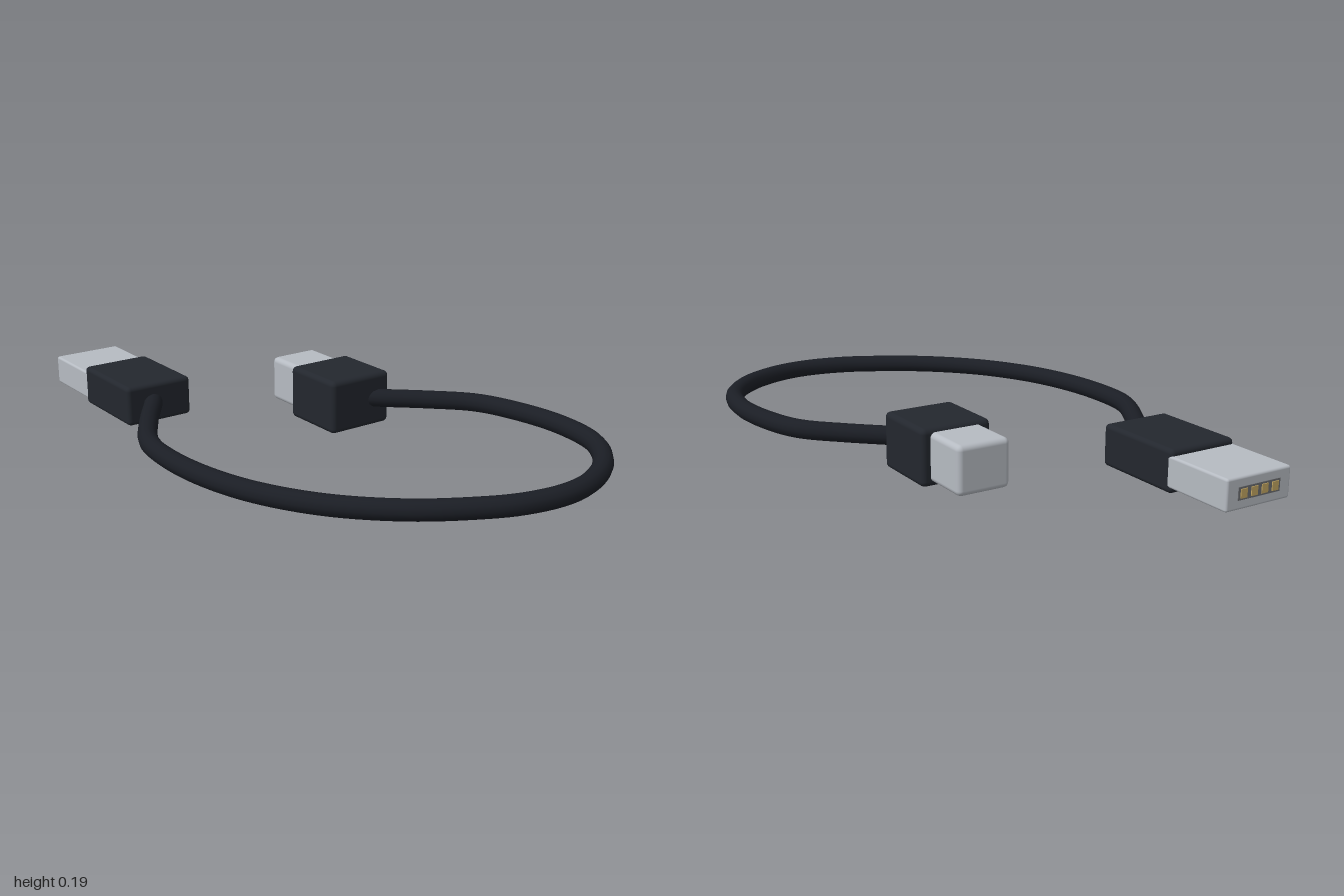
import * as THREE from 'three';
import { RoundedBoxGeometry } from 'three/addons/geometries/RoundedBoxGeometry.js';

const material = (color) => new THREE.MeshStandardMaterial({ color });

export function createModel() {
  const model = new THREE.Group();
  const rubber = material(0x23272e);
  const cableRubber = material(0x1b1e25);
  const metal = material(0xb6bbc2);
  const slotDark = material(0x6b6d70);
  const gold = material(0xc2a561);

  // Box given by its minimum and maximum on each axis
  function block(name, parent, mat, [x0, x1], [y0, y1], [z0, z1], radius = 0) {
    const size = [x1 - x0, y1 - y0, z1 - z0];
    const geometry = radius > 0
      ? new RoundedBoxGeometry(...size, 3, radius)
      : new THREE.BoxGeometry(...size);
    const mesh = new THREE.Mesh(geometry, mat);
    mesh.name = name;
    mesh.position.set((x0 + x1) / 2, (y0 + y1) / 2, (z0 + z1) / 2);
    parent.add(mesh);
    return mesh;
  }

  // Flat connector: grip, metal shell and contact slot
  const flat = new THREE.Group();
  flat.name = 'flatConnector';
  block('flatGrip', flat, rubber, [-0.76, -0.435], [0.028, 0.166], [0.222, 0.468], 0.015);
  block('flatShell', flat, metal, [-0.995, -0.74], [0.047, 0.147], [0.222, 0.468], 0.008);
  block('contactSlot', flat, slotDark, [-0.997, -0.97], [0.077, 0.117], [0.265, 0.425]);
  for (let i = 0; i < 4; i++) {
    const z = 0.285 + i * 0.04;
    block('contact', flat, gold, [-1, -0.97], [0.083, 0.111], [z - 0.012, z + 0.012]);
  }
  model.add(flat);

  // Square connector: grip and metal plug
  const square = new THREE.Group();
  square.name = 'squareConnector';
  block('squareGrip', square, rubber, [-0.266, -0.018], [0, 0.188], [-0.34, -0.092], 0.018);
  block('squarePlug', square, metal, [-0.432, -0.25], [0.016, 0.176], [-0.31, -0.126], 0.018);
  model.add(square);

  // Cable looping between the two grips
  const path = [
    [-0.08, -0.23], [-0.01, -0.30], [0.10, -0.42], [0.22, -0.53], [0.36, -0.58], [0.55, -0.60],
    [0.73, -0.56], [0.87, -0.44], [0.945, -0.29], [0.96, -0.17], [0.935, -0.03],
    [0.885, 0.083], [0.78, 0.25], [0.62, 0.41], [0.43, 0.52], [0.24, 0.575],
    [0.05, 0.59], [-0.10, 0.57], [-0.27, 0.48], [-0.42, 0.38], [-0.50, 0.335],
  ].map(([x, z]) => new THREE.Vector3(x, 0.097, z));
  const curve = new THREE.CatmullRomCurve3(path);
  const cable = new THREE.Mesh(new THREE.TubeGeometry(curve, 120, 0.032, 12), cableRubber);
  cable.name = 'cable';
  model.add(cable);

  return model;
}
